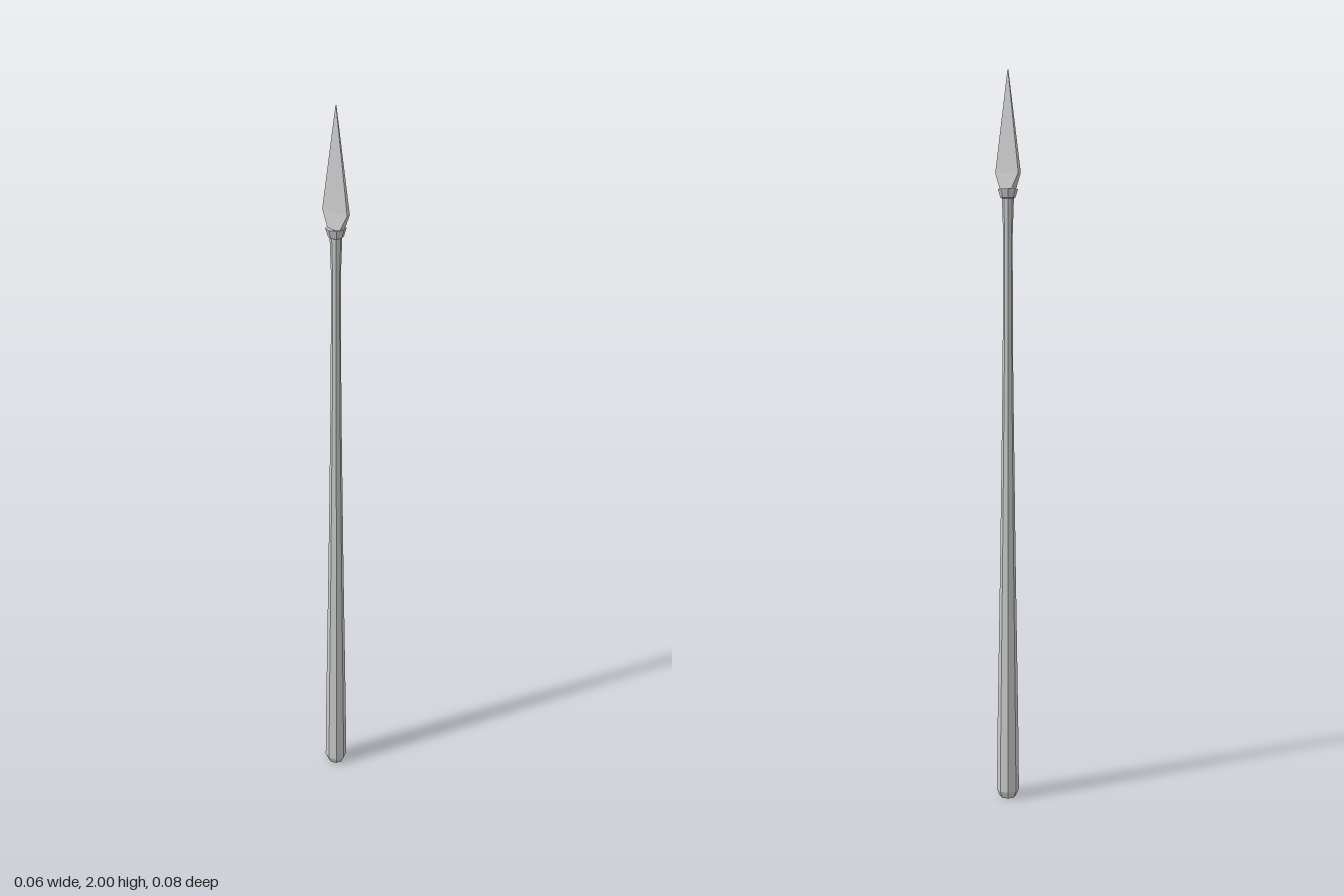
import * as THREE from 'three';

const material = new THREE.MeshStandardMaterial({ color: 0xcccccc, flatShading: true });

// Eight-sided turned part from [radius, height] pairs, bottom to top
function turned(name, profile) {
  const points = profile.map(([r, y]) => new THREE.Vector2(r, y));
  const mesh = new THREE.Mesh(new THREE.LatheGeometry(points, 8), material);
  mesh.name = name;
  return mesh;
}

// Four-cornered sections [halfX, halfZ, y] joined from bottom to top
function lofted(name, sections) {
  const positions = [];
  const index = [];
  for (const [hx, hz, y] of sections) {
    positions.push(hx, y, hz, hx, y, -hz, -hx, y, -hz, -hx, y, hz);
  }
  for (let s = 0; s < sections.length - 1; s++) {
    for (let i = 0; i < 4; i++) {
      const a = s * 4 + i;
      const b = s * 4 + (i + 1) % 4;
      index.push(a, b, b + 4, a, b + 4, a + 4);
    }
  }
  const t = (sections.length - 1) * 4;
  index.push(0, 2, 1, 0, 3, 2, t, t + 1, t + 2, t, t + 2, t + 3);
  const geometry = new THREE.BufferGeometry();
  geometry.setAttribute('position', new THREE.Float32BufferAttribute(positions, 3));
  geometry.setIndex(index);
  geometry.computeVertexNormals();
  const mesh = new THREE.Mesh(geometry, material);
  mesh.name = name;
  return mesh;
}

export function createModel() {
  const spear = new THREE.Group();
  spear.name = 'spear';

  // Tapered shaft with a chamfered butt
  spear.add(turned('shaft', [
    [0, 0], [0.022, 0], [0.031, 0.02], [0.029, 0.2], [0.021, 0.7],
    [0.0145, 1.19], [0.0125, 1.56], [0.016, 1.665],
  ]));

  // Flared collar under the blade
  spear.add(turned('collar', [
    [0.016, 1.665], [0.02, 1.667], [0.027, 1.69], [0.022, 1.69], [0, 1.685],
  ]));

  // Thin blade, broad in z, rising from a thicker neck to a point
  spear.add(lofted('blade', [
    [0.01, 0.018, 1.683], [0.005, 0.042, 1.732], [0.0008, 0.0008, 2],
  ]));

  return spear;
}
